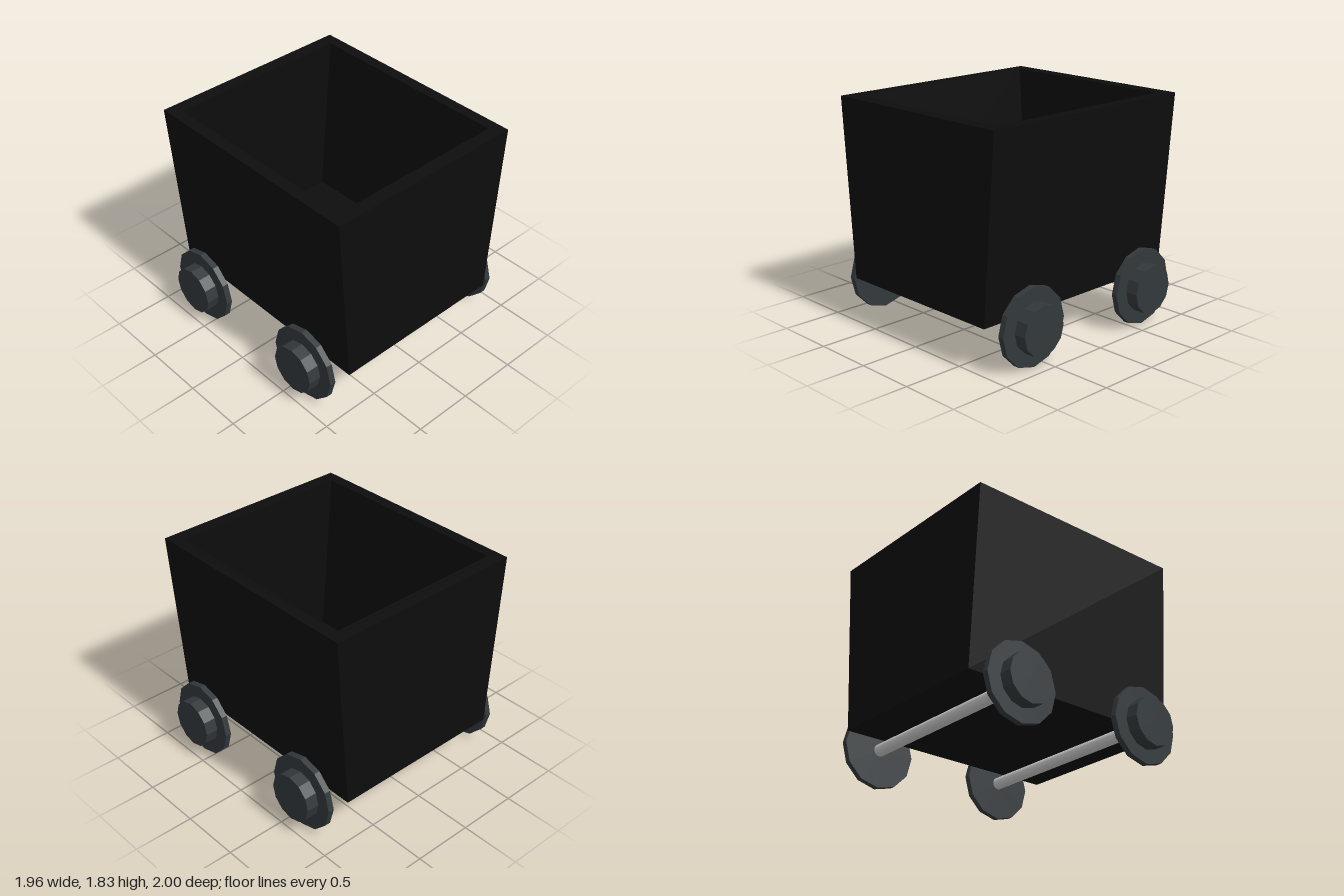
import * as THREE from 'three';

const bodyMat = new THREE.MeshStandardMaterial({ color: 0x0d0d0d, flatShading: true });
const wheelMat = new THREE.MeshStandardMaterial({ color: 0x32383b, flatShading: true });
const axleMat = new THREE.MeshStandardMaterial({ color: 0xcccccc });

// Rectangular loop of corners, anticlockwise seen from above
function loop(x, y, z) {
  return [[x, y, z], [x, y, -z], [-x, y, -z], [-x, y, z]];
}

// Open tub skinned through loops: outside, rim, inside, then floor and underside
function tubGeometry(loops) {
  const pos = [];
  const quad = (a, b, c, d) => pos.push(...a, ...b, ...c, ...a, ...c, ...d);
  for (let k = 0; k < loops.length - 1; k++) {
    const a = loops[k], b = loops[k + 1];
    for (let i = 0; i < 4; i++) {
      const j = (i + 1) % 4;
      quad(a[i], a[j], b[j], b[i]);
    }
  }
  quad(...loops[loops.length - 1]);
  quad(...[...loops[0]].reverse());
  const g = new THREE.BufferGeometry();
  g.setAttribute('position', new THREE.Float32BufferAttribute(pos, 3));
  g.computeVertexNormals();
  return g;
}

// Cylinder lying along z between z0 and z1
function rod(name, radius, z0, z1, sides, material) {
  const g = new THREE.CylinderGeometry(radius, radius, z1 - z0, sides);
  g.rotateX(Math.PI / 2);
  g.translate(0, 0, (z0 + z1) / 2);
  const mesh = new THREE.Mesh(g, material);
  mesh.name = name;
  return mesh;
}

export function createModel() {
  const cart = new THREE.Group();
  cart.name = 'cart';

  // Tub with front and back walls leaning outwards
  const tub = new THREE.Mesh(tubGeometry([
    loop(0.98, 0.36, 0.75),
    loop(0.98, 1.83, 0.86),
    loop(0.87, 1.83, 0.765),
    loop(0.87, 0.46, 0.66),
  ]), bodyMat);
  tub.name = 'tub';
  cart.add(tub);

  for (const sx of [-1, 1]) {
    // Axle across the cart
    const axle = rod('axle', 0.05, -0.86, 0.86, 32, axleMat);
    axle.position.set(sx * 0.615, 0.312, 0);
    cart.add(axle);

    // Flanged wheel at each end, hub facing outwards
    for (const sz of [-1, 1]) {
      const wheel = new THREE.Group();
      wheel.name = 'wheel';
      wheel.add(rod('flange', 0.315, 0.845, 0.895, 12, wheelMat));
      wheel.add(rod('hub', 0.2, 0.89, 1, 12, wheelMat));
      wheel.position.set(sx * 0.615, 0.315, 0);
      if (sz < 0) wheel.rotation.y = Math.PI;
      cart.add(wheel);
    }
  }
  return cart;
}
